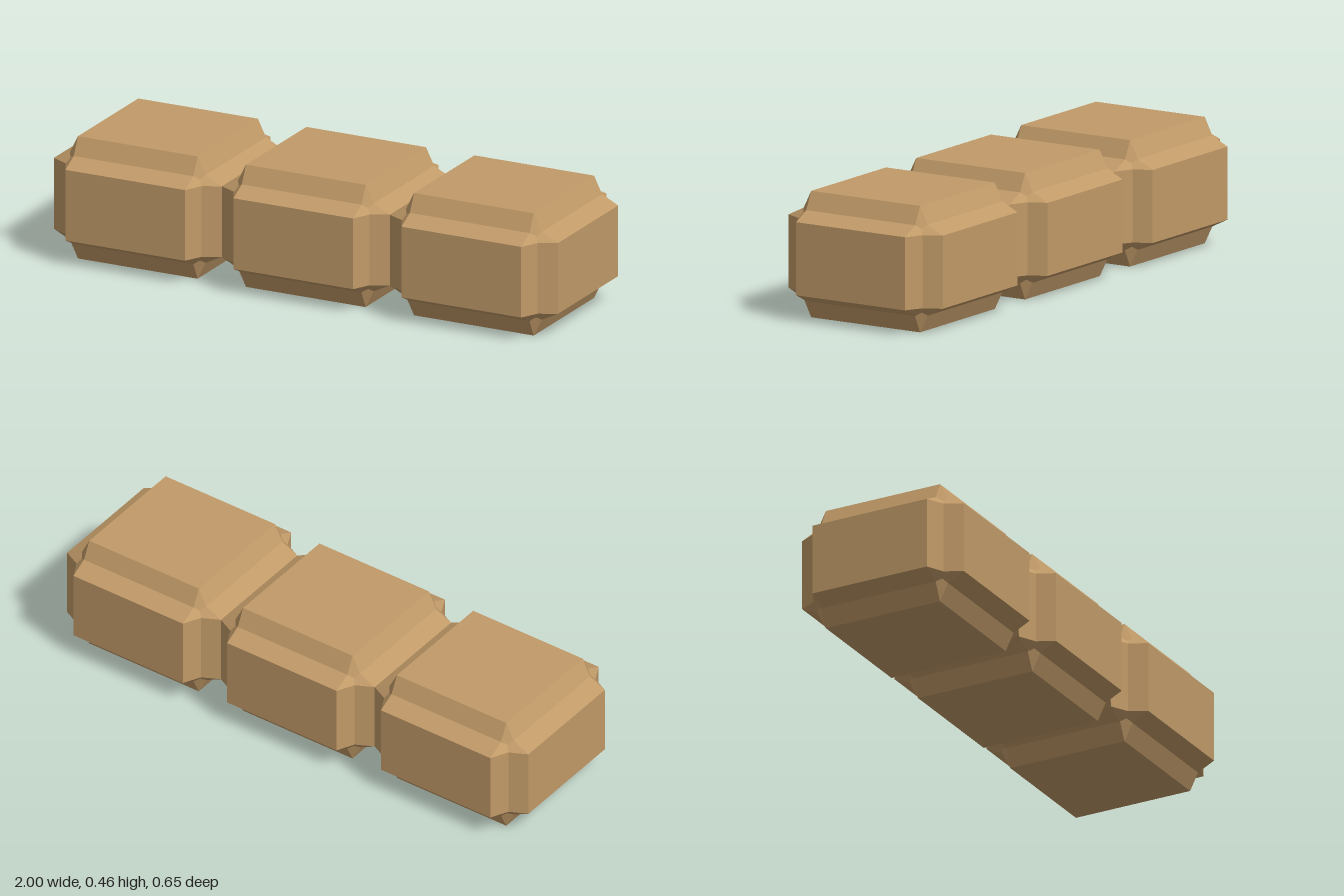
import * as THREE from 'three';

const HALF = [1 / 3, 0.2275, 0.326]; // half size of one block
const INSET = 0.096;  // face border
const GROOVE = 0.064; // depth of the notch along every edge
const CORNER = 0.0768; // depth of the notch at every corner
const SIGNS = [-1, 1];

// Block whose edges are cut back into V-shaped notches
function notchedBlock() {
  const positions = [];

  // Point given by the depth below the outer box on each axis
  const point = (signs, depths) =>
    new THREE.Vector3(...HALF.map((h, i) => signs[i] * (h - depths[i])));

  // Flat quad, turned so that it faces away from the block's centre
  const quad = (a, b, c, d) => {
    const normal = c.clone().sub(a).cross(d.clone().sub(b));
    const middle = a.clone().add(b).add(c).add(d);
    const p = normal.dot(middle) > 0 ? [a, b, c, d] : [d, c, b, a];
    for (const i of [0, 1, 2, 0, 2, 3]) positions.push(...p[i].toArray());
  };

  // Place values on axes i, j, k
  const onAxes = (i, j, k, vi, vj, vk) => {
    const v = [0, 0, 0];
    v[i] = vi; v[j] = vj; v[k] = vk;
    return v;
  };

  for (let i = 0; i < 3; i++) {
    const j = (i + 1) % 3, k = (i + 2) % 3;

    // Six main faces
    for (const s of SIGNS) {
      const corner = (sj, sk) =>
        point(onAxes(i, j, k, s, sj, sk), onAxes(i, j, k, 0, INSET, INSET));
      quad(corner(-1, -1), corner(1, -1), corner(1, 1), corner(-1, 1));
    }

    // Notches running along axis k, two slopes each
    for (const si of SIGNS) for (const sj of SIGNS) {
      const at = (sk, di, dj) =>
        point(onAxes(i, j, k, si, sj, sk), onAxes(i, j, k, di, dj, INSET));
      for (const [di, dj] of [[0, INSET], [INSET, 0]]) {
        quad(at(-1, di, dj), at(1, di, dj), at(1, GROOVE, GROOVE), at(-1, GROOVE, GROOVE));
      }
    }

    // Corner facets, one per axis in each octant
    for (const sx of SIGNS) for (const sy of SIGNS) for (const sz of SIGNS) {
      const at = (di, dj, dk) => point([sx, sy, sz], onAxes(i, j, k, di, dj, dk));
      quad(at(0, INSET, INSET), at(GROOVE, GROOVE, INSET),
        at(CORNER, CORNER, CORNER), at(GROOVE, INSET, GROOVE));
    }
  }

  const geometry = new THREE.BufferGeometry();
  geometry.setAttribute('position', new THREE.Float32BufferAttribute(positions, 3));
  geometry.computeVertexNormals();
  return geometry;
}

export function createModel() {
  const model = new THREE.Group();
  model.name = 'blockRow';
  const tan = new THREE.MeshStandardMaterial({ color: 0xc19a68 });
  tan.name = 'tan';

  // Three equal blocks side by side
  const geometry = notchedBlock();
  ['rightBlock', 'middleBlock', 'leftBlock'].forEach((name, n) => {
    const block = new THREE.Mesh(geometry, tan);
    block.name = name;
    block.position.set((n - 1) * 2 * HALF[0], HALF[1], 0);
    model.add(block);
  });
  return model;
}
